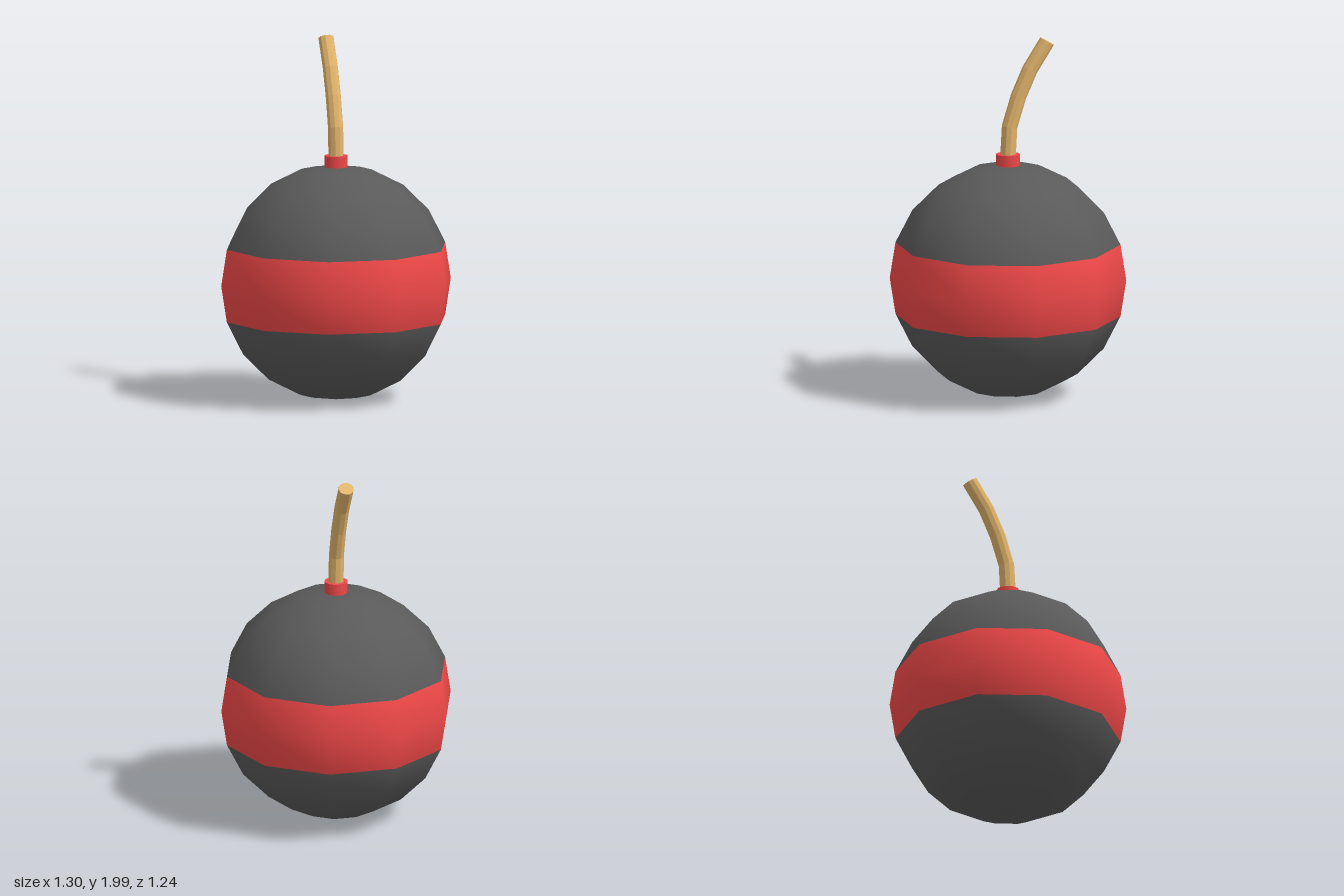
import * as THREE from 'three';

const SIDES = 10, R = 0.65, CY = 0.654;

export function createModel() {
  const model = new THREE.Group();
  const dark = new THREE.MeshStandardMaterial({ color: 0x5a5a5a });
  const red = new THREE.MeshStandardMaterial({ color: 0xf04848 });
  const tan = new THREE.MeshStandardMaterial({ color: 0xe2b56c, flatShading: true });

  const add = (name, geometry, material, y = 0) => {
    const mesh = new THREE.Mesh(geometry, material);
    mesh.name = name;
    mesh.position.y = y;
    model.add(mesh);
  };

  // Body: one coarse ball split into three zones of 18-degree rings
  const step = Math.PI / 10;
  const zone = (from, rings) =>
    new THREE.SphereGeometry(R, SIDES, rings, 0, Math.PI * 2, from * step, rings * step);
  add('upperShell', zone(0, 4), dark, CY);
  add('middleBand', zone(4, 2), red, CY);
  add('lowerShell', zone(6, 4), dark, CY);

  // Collar around the foot of the fuse
  const collar = new THREE.CylinderGeometry(0.065, 0.065, 0.1, SIDES);
  collar.rotateY(Math.PI / 2);
  add('collar', collar, red, 1.307);

  // Fuse: a cylinder whose rings follow a path [z, y, lean] curving backwards
  const path = [
    [0.005, 1.25, 0], [-0.009, 1.51, 0.19], [-0.06, 1.677, 0.37],
    [-0.125, 1.825, 0.47], [-0.222, 1.978, 0.53],
  ];
  const segments = path.length - 1;
  const fuse = new THREE.CylinderGeometry(0.043, 0.043, segments, SIDES, segments);
  fuse.rotateY(Math.PI / 2);
  const pos = fuse.attributes.position;
  for (let i = 0; i < pos.count; i++) {
    const [z, y, lean] = path[Math.round(pos.getY(i) + segments / 2)];
    const d = pos.getZ(i);
    pos.setY(i, y + d * Math.sin(lean));
    pos.setZ(i, z + d * Math.cos(lean));
  }
  fuse.computeVertexNormals();
  add('fuse', fuse, tan);

  return model;
}
